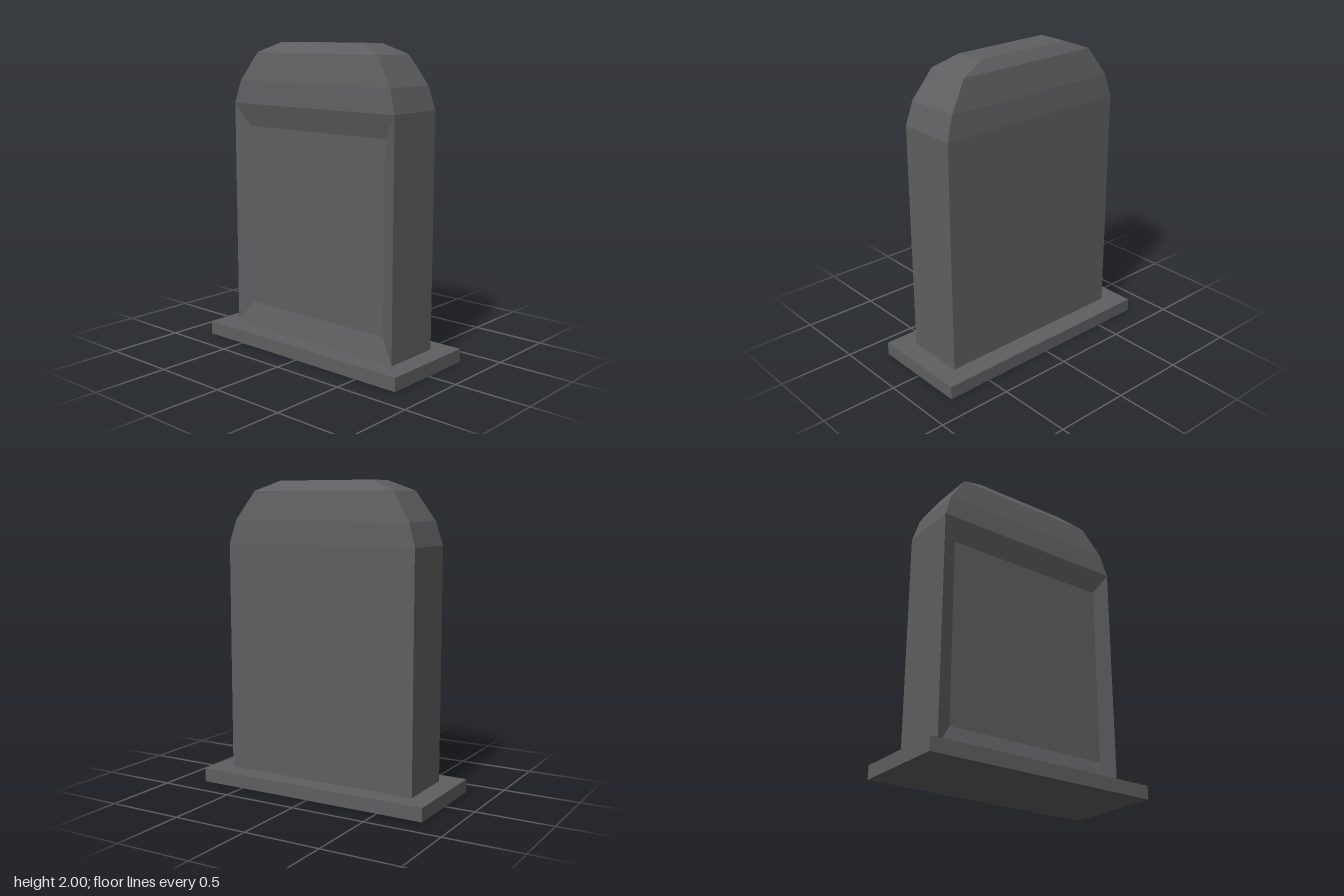
import * as THREE from 'three';

// Faceted geometry from a list of quads, corners counter-clockwise seen from outside
function quadGeometry(quads) {
  const points = quads.flatMap(([a, b, c, d]) => [a, b, c, a, c, d]).flat();
  const geometry = new THREE.BufferGeometry();
  geometry.setAttribute('position', new THREE.Float32BufferAttribute(points, 3));
  geometry.computeVertexNormals();
  return geometry;
}

// Horizontal rectangle: front left, front right, back right, back left
const ring = (y, x, z) => [[-x, y, z], [x, y, z], [x, y, -z], [-x, y, -z]];

export function createModel() {
  const model = new THREE.Group();
  model.name = 'headstone';
  const stone = new THREE.MeshStandardMaterial({ color: 0x5f5f61 });
  stone.name = 'dark grey stone';

  const add = (name, geometry) => {
    const mesh = new THREE.Mesh(geometry, stone);
    mesh.name = name;
    model.add(mesh);
    return mesh;
  };

  // Plinth
  const baseTop = 0.088;
  add('plinth', new THREE.BoxGeometry(1.606, baseTop, 0.67)).position.y = baseTop / 2;

  // Slab with a tapering crown; the straight front is left open for the panel
  const rings = [
    ring(baseTop, 0.67, 0.2),
    ring(1.6, 0.67, 0.2),
    ring(1.75, 0.625, 0.187),
    ring(1.935, 0.503, 0.15),
    ring(2, 0.335, 0.1),
  ];
  const slab = [];
  for (let i = 0; i < rings.length - 1; i++) {
    for (let k = i === 0 ? 1 : 0; k < 4; k++) {
      const n = (k + 1) % 4;
      slab.push([rings[i][k], rings[i][n], rings[i + 1][n], rings[i + 1][k]]);
    }
  }
  slab.push(rings[4]);
  add('slab', quadGeometry(slab));

  // Sunken front panel with sloping borders
  const panelRect = (x, bottom, top, z) => [[-x, bottom, z], [x, bottom, z], [x, top, z], [-x, top, z]];
  const outer = panelRect(0.67, baseTop, 1.6, 0.2);
  const inner = panelRect(0.57, 0.24, 1.45, 0.16);
  const borders = outer.map((corner, k) => {
    const n = (k + 1) % 4;
    return [corner, outer[n], inner[n], inner[k]];
  });
  add('panelBorder', quadGeometry(borders));
  add('panel', quadGeometry([inner]));

  return model;
}
